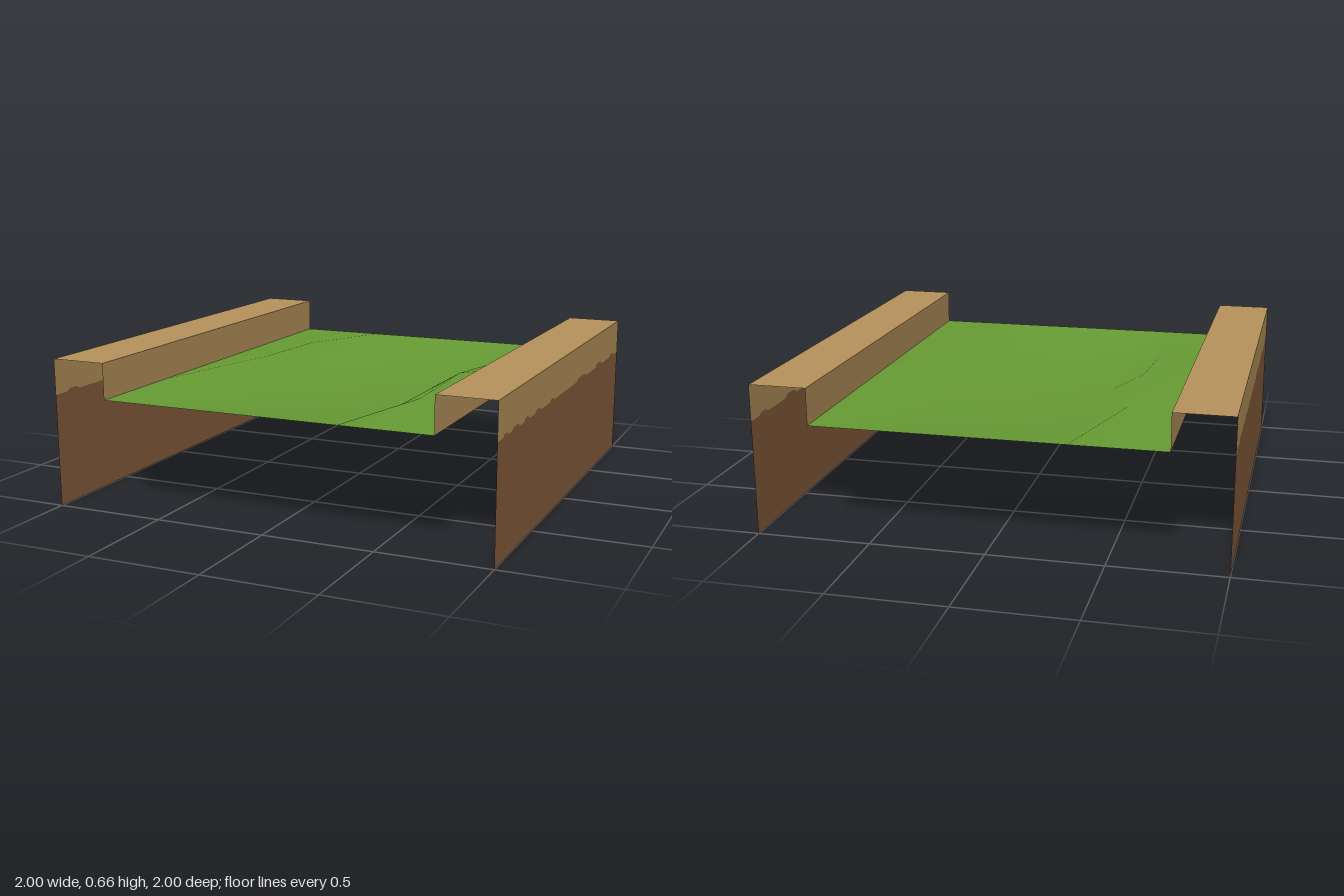
import * as THREE from 'three';

const material = (name, hex) => {
  const m = new THREE.MeshStandardMaterial({ color: hex, side: THREE.DoubleSide });
  m.name = name;
  return m;
};

export function createModel() {
  const grass = material('grass green', 0x669a33);
  const tan = material('tan bank', 0xb4915b);
  const brown = material('brown earth', 0x855c3b);
  const model = new THREE.Group();
  model.name = 'riverbedTile';

  const add = (parent, name, geometry, mat) => {
    const mesh = new THREE.Mesh(geometry, mat);
    mesh.name = name;
    parent.add(mesh);
    return mesh;
  };

  // Grass: a shallow basin, with low ridges near both banks
  const xs = [-0.75, -0.5, -0.34, 0, 0.34, 0.5, 0.75];
  const zs = [-1, -0.5, 0, 0.5, 1];
  const heights = [
    [0.5, 0.5, 0.5, 0.5, 0.5, 0.5, 0.5],
    [0.5, 0.52, 0.44, 0.44, 0.44, 0.49, 0.5],
    [0.5, 0.535, 0.44, 0.44, 0.44, 0.535, 0.5],
    [0.5, 0.49, 0.44, 0.44, 0.44, 0.52, 0.5],
    [0.5, 0.5, 0.5, 0.5, 0.5, 0.5, 0.5],
  ];
  const ground = new THREE.PlaneGeometry(1.5, 2, xs.length - 1, zs.length - 1).rotateX(-Math.PI / 2);
  const pos = ground.attributes.position;
  zs.forEach((z, j) => xs.forEach((x, i) => pos.setXYZ(j * xs.length + i, x, heights[j][i], z)));
  ground.computeVertexNormals();
  add(model, 'grassBed', ground, grass);

  // Uneven line where earth meets the bank: [start, end, height] along the wall
  const bumps = [
    [-0.93, -0.86, 0.512], [-0.82, -0.71, 0.513], [-0.65, -0.58, 0.515],
    [-0.5, -0.41, 0.513], [-0.27, -0.21, 0.51], [0.17, 0.36, 0.513],
    [0.53, 0.66, 0.517], [0.83, 0.92, 0.512],
  ];
  const edge = [[-1, 0.5]];
  for (const [a, b, h] of bumps) {
    edge.push([a, 0.5], [a + (b - a) * 0.25, h], [a + (b - a) * 0.75, h], [b, 0.5]);
  }
  edge.push([1, 0.5]);

  // Sheet on the outer wall, between the uneven line and a level edge
  const wall = (level) => {
    const points = [...edge, [1, level], [-1, level]].map(([s, y]) => new THREE.Vector2(s, y));
    return new THREE.ShapeGeometry(new THREE.Shape(points)).rotateY(Math.PI / 2).translate(1, 0, 0);
  };

  // Banks: open-ended thin sheets, the second turned half way round
  for (const side of ['left', 'right']) {
    const bank = new THREE.Group();
    bank.name = side + 'Bank';
    add(bank, 'earthWall', wall(0), brown);
    add(bank, 'upperWall', wall(0.66), tan);
    add(bank, 'bankTop', new THREE.PlaneGeometry(0.25, 2).rotateX(-Math.PI / 2), tan)
      .position.set(0.875, 0.66, 0);
    add(bank, 'innerWall', new THREE.PlaneGeometry(2, 0.16).rotateY(-Math.PI / 2), tan)
      .position.set(0.75, 0.58, 0);
    if (side === 'right') bank.rotation.y = Math.PI;
    model.add(bank);
  }
  return model;
}
